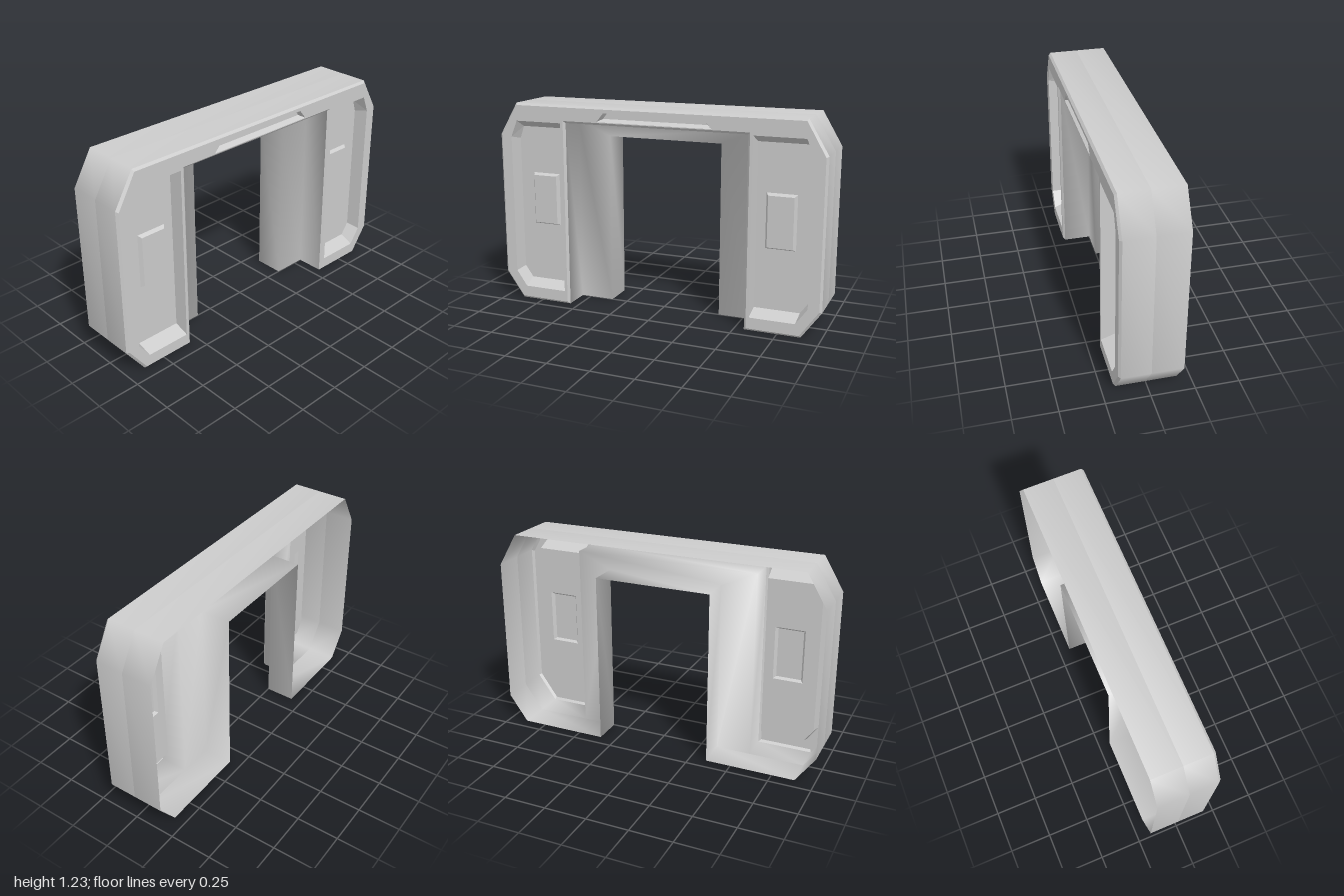
import * as THREE from 'three';

const material = new THREE.MeshStandardMaterial({ color: 0xcccccc, side: THREE.DoubleSide });

function addMesh(parent, name, geometry) {
  const mesh = new THREE.Mesh(geometry, material);
  mesh.name = name;
  parent.add(mesh);
  return mesh;
}

// Skin joining closed loops of [x, y] points, each loop at its own z
function loft(layers) {
  const n = layers[0].pts.length;
  const positions = [], index = [];
  for (const { pts, z } of layers) for (const [x, y] of pts) positions.push(x, y, z);
  for (let l = 0; l < layers.length - 1; l++) {
    for (let k = 0; k < n; k++) {
      const a = l * n + k, b = l * n + (k + 1) % n;
      index.push(a, b, b + n, a, b + n, a + n);
    }
  }
  const g = new THREE.BufferGeometry();
  g.setAttribute('position', new THREE.Float32BufferAttribute(positions, 3));
  g.setIndex(index);
  g.computeVertexNormals();
  return g;
}

// Same skin with hard edges
function facetedLoft(layers) {
  const g = loft(layers).toNonIndexed();
  g.computeVertexNormals();
  return g;
}

const toVectors = (pts) => pts.map(([x, y]) => new THREE.Vector2(x, y));

function plate(pts, z, holes = []) {
  const shape = new THREE.Shape(toVectors(pts));
  for (const hole of holes) shape.holes.push(new THREE.Path(toVectors(hole)));
  return new THREE.ShapeGeometry(shape).translate(0, 0, z);
}

// Gate outline: chamfered outside, rectangular opening, shrunk by d
function gateOutline(openX, openY, d = 0) {
  const half = [
    [openX + d, openY + d], [openX + d, d], [0.885 - d * 0.5, d],
    [1 - d, 0.16 + d * 0.5], [1 - d, 1.03 - d * 0.5], [0.885 - d * 0.5, 1.225 - d],
  ];
  return [...half, ...half.map(([x, y]) => [-x, y]).reverse()];
}

const rect = (x0, y0, x1, y1) => [[x0, y0], [x1, y0], [x1, y1], [x0, y1]];
const mirrorX = (pts, s) => pts.map(([x, y]) => [x * s, y]);

export function createModel() {
  const model = new THREE.Group();
  model.name = 'gateFrame';
  const front = 0.18, bevel = 0.013;

  // Open-backed shell with a stepped doorway
  addMesh(model, 'frameShell', loft([
    { pts: gateOutline(0.35, 1.03), z: -0.18 },
    { pts: gateOutline(0.35, 1.03), z: 0 },
    { pts: gateOutline(0.557, 1.12), z: 0 },
    { pts: gateOutline(0.557, 1.12), z: front - bevel },
  ]));
  const face = gateOutline(0.557, 1.12, bevel);
  addMesh(model, 'frontBevel', facetedLoft([
    { pts: gateOutline(0.557, 1.12), z: front - bevel },
    { pts: face, z: front },
  ]));

  // Recess contours: panel rim, panel floor, lintel slot
  const rim = [[0.588, 0.08], [0.855, 0.08], [0.922, 0.175], [0.922, 1.02], [0.882, 1.118], [0.588, 1.118]];
  const floor = [[0.592, 0.115], [0.86, 0.115], [0.91, 0.185], [0.91, 1.0], [0.885, 1.075], [0.592, 1.075]];
  const slot = [[-0.35, 1.138], [0.35, 1.138], [0.305, 1.192], [-0.305, 1.192]];
  const slotFloor = [[-0.32, 1.155], [0.32, 1.155], [0.295, 1.188], [-0.295, 1.188]];

  addMesh(model, 'frontFace', plate(face, front, [rim, mirrorX(rim, -1), slot]));

  const lintelSlot = new THREE.Group();
  lintelSlot.name = 'lintelSlot';
  addMesh(lintelSlot, 'slotWalls', facetedLoft([{ pts: slot, z: front }, { pts: slotFloor, z: front - 0.03 }]));
  addMesh(lintelSlot, 'slotFloor', plate(slotFloor, front - 0.03));
  model.add(lintelSlot);

  // Recessed panel with a raised tablet on each leg
  const floorZ = 0.095, tabletZ = 0.115;
  const tabletBase = rect(0.648, 0.473, 0.825, 0.793);
  const tabletTop = rect(0.662, 0.483, 0.811, 0.78);
  for (const [side, s] of [['left', 1], ['right', -1]]) {
    const panel = new THREE.Group();
    panel.name = side + 'Panel';
    const [r, f, b, t] = [rim, floor, tabletBase, tabletTop].map((p) => mirrorX(p, s));
    addMesh(panel, 'panelWalls', facetedLoft([{ pts: r, z: front }, { pts: f, z: floorZ }]));
    addMesh(panel, 'panelFloor', plate(f, floorZ, [b]));
    addMesh(panel, 'tabletSides', facetedLoft([{ pts: b, z: floorZ }, { pts: t, z: tabletZ }]));
    addMesh(panel, 'tabletFace', plate(t, tabletZ));
    model.add(panel);
  }
  return model;
}
